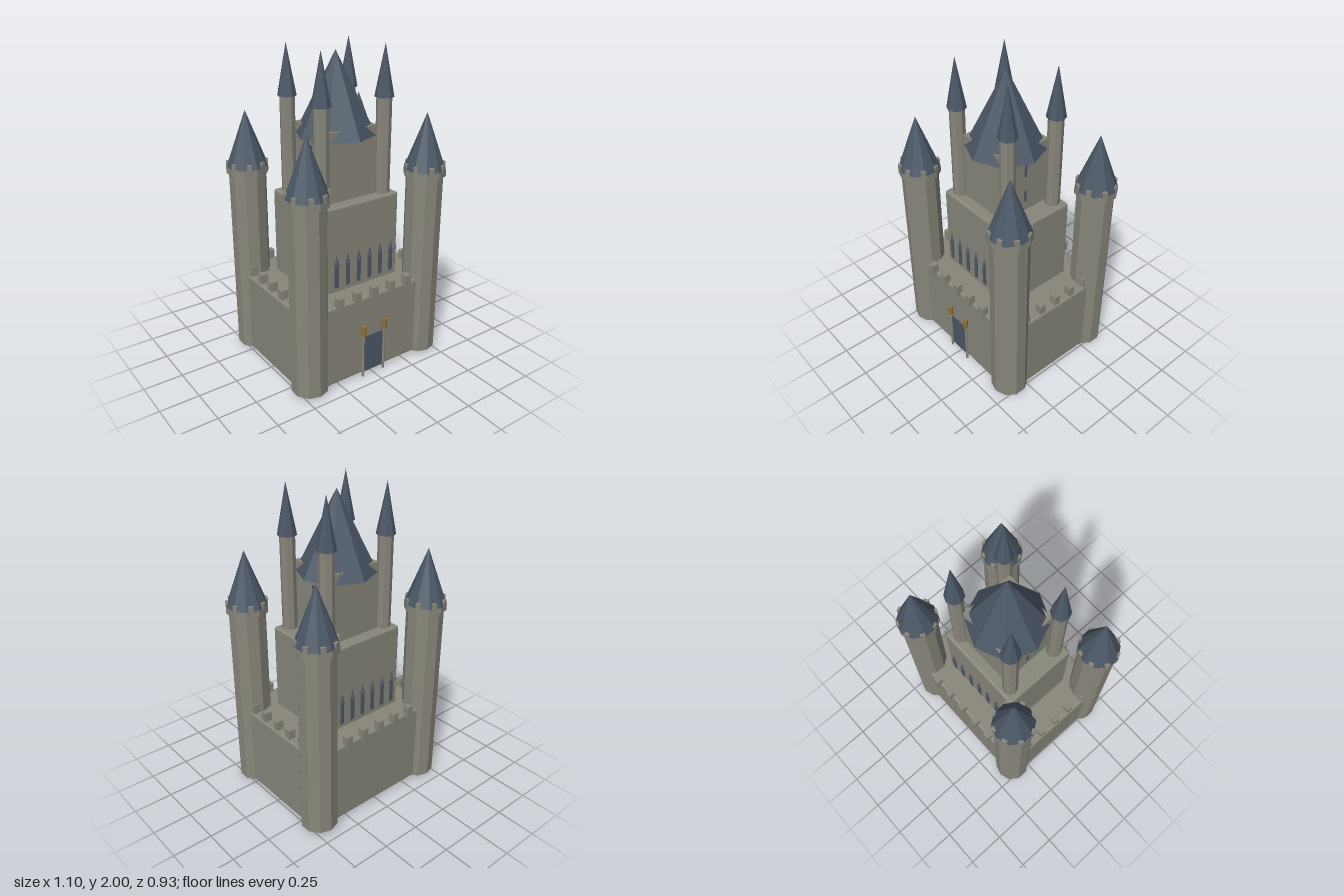
import * as THREE from 'three';
import { RoundedBoxGeometry } from 'three/addons/geometries/RoundedBoxGeometry.js';

const flat = (name, color) => {
  const m = new THREE.MeshStandardMaterial({ color, flatShading: true });
  m.name = name;
  return m;
};

export function createModel() {
  const stone = flat('stone', 0x88867a);
  const slate = flat('slate', 0x4b5766);
  const brass = flat('torch brass', 0x8f7038);
  const castle = new THREE.Group();
  castle.name = 'castle';

  const add = (parent, name, geometry, material, x, y, z) => {
    const mesh = new THREE.Mesh(geometry, material);
    mesh.name = name;
    mesh.position.set(x, y, z);
    parent.add(mesh);
    return mesh;
  };
  // Boxes, prisms and cones are placed by their bottom and top heights
  const box = (parent, name, mat, w, d, y0, y1, x = 0, z = 0) =>
    add(parent, name, new THREE.BoxGeometry(w, y1 - y0, d), mat, x, (y0 + y1) / 2, z);
  const block = (name, w, d, y0, y1) =>
    add(castle, name, new RoundedBoxGeometry(w, y1 - y0, d, 2, 0.015), stone, 0, (y0 + y1) / 2, 0);
  const prism = (parent, name, mat, r, sides, y0, y1, x = 0, z = 0) =>
    add(parent, name, new THREE.CylinderGeometry(r, r, y1 - y0, sides), mat, x, (y0 + y1) / 2, z);
  const cone = (parent, name, r, sides, y0, y1, x = 0, z = 0) =>
    add(parent, name, new THREE.ConeGeometry(r, y1 - y0, sides), slate, x, (y0 + y1) / 2, z);

  // Stacked body
  block('curtainWall', 1, 0.8, 0.02, 0.55);
  block('keep', 0.6, 0.49, 0.5, 1.1);
  box(castle, 'upperKeep', stone, 0.35, 0.35, 1.09, 1.53);
  cone(castle, 'mainRoof', 0.245, 8, 1.465, 1.96);

  for (const sx of [-1, 1]) {
    for (const sz of [-1, 1]) {
      // Corner tower with battlement ring and roof
      const tower = new THREE.Group();
      tower.name = 'cornerTower';
      tower.position.set(sx * 0.425, 0, sz * 0.335);
      castle.add(tower);
      prism(tower, 'towerShaft', stone, 0.115, 10, 0.02, 1.23);
      prism(tower, 'towerRing', stone, 0.13, 10, 1.215, 1.255);
      cone(tower, 'towerRoof', 0.13, 10, 1.25, 1.6);
      for (let i = 0; i < 8; i++) {
        const a = (i + 0.5) * Math.PI / 4;
        const m = box(tower, 'towerMerlon', stone, 0.03, 0.024, 1.25, 1.29,
          Math.sin(a) * 0.115, Math.cos(a) * 0.115);
        m.rotation.y = a;
      }

      // Slim turret on the keep
      const turret = new THREE.Group();
      turret.name = 'turret';
      turret.position.set(sx * 0.223, 0, sz * 0.178);
      castle.add(turret);
      prism(turret, 'turretShaft', stone, 0.047, 8, 1.09, 1.7);
      cone(turret, 'turretRoof', 0.059, 8, 1.69, 2);
    }
  }

  for (const s of [-1, 1]) {
    // Merlons on the curtain wall
    for (let i = -2; i <= 2; i++) {
      box(castle, 'wallMerlon', stone, 0.043, 0.043, 0.54, 0.61, i * 0.127, s * 0.4);
      box(castle, 'wallMerlon', stone, 0.047, 0.04, 0.54, 0.61, s * 0.467, i * 0.122);
    }
    // Pointed windows on the front and back of the keep
    for (let i = -3; i <= 3; i++) {
      box(castle, 'keepWindow', slate, 0.026, 0.009, 0.58, 0.735, i * 0.083, s * 0.247);
      cone(castle, 'windowPoint', 0.018, 4, 0.73, 0.795, i * 0.083, s * 0.245);
    }
    // Arrow slits on the sides of the upper keep
    box(castle, 'arrowSlit', slate, 0.008, 0.016, 1.165, 1.24, s * 0.175, 0);
    box(castle, 'arrowSlit', slate, 0.008, 0.016, 1.34, 1.42, s * 0.175, 0);
    // Torches beside the gate
    prism(castle, 'torchPost', stone, 0.008, 8, 0, 0.3, s * 0.08, 0.41);
    prism(castle, 'torchHead', brass, 0.017, 8, 0.295, 0.36, s * 0.08, 0.41);
  }

  // Gate
  box(castle, 'gate', slate, 0.15, 0.009, 0.025, 0.275, 0, 0.401);

  return castle;
}
